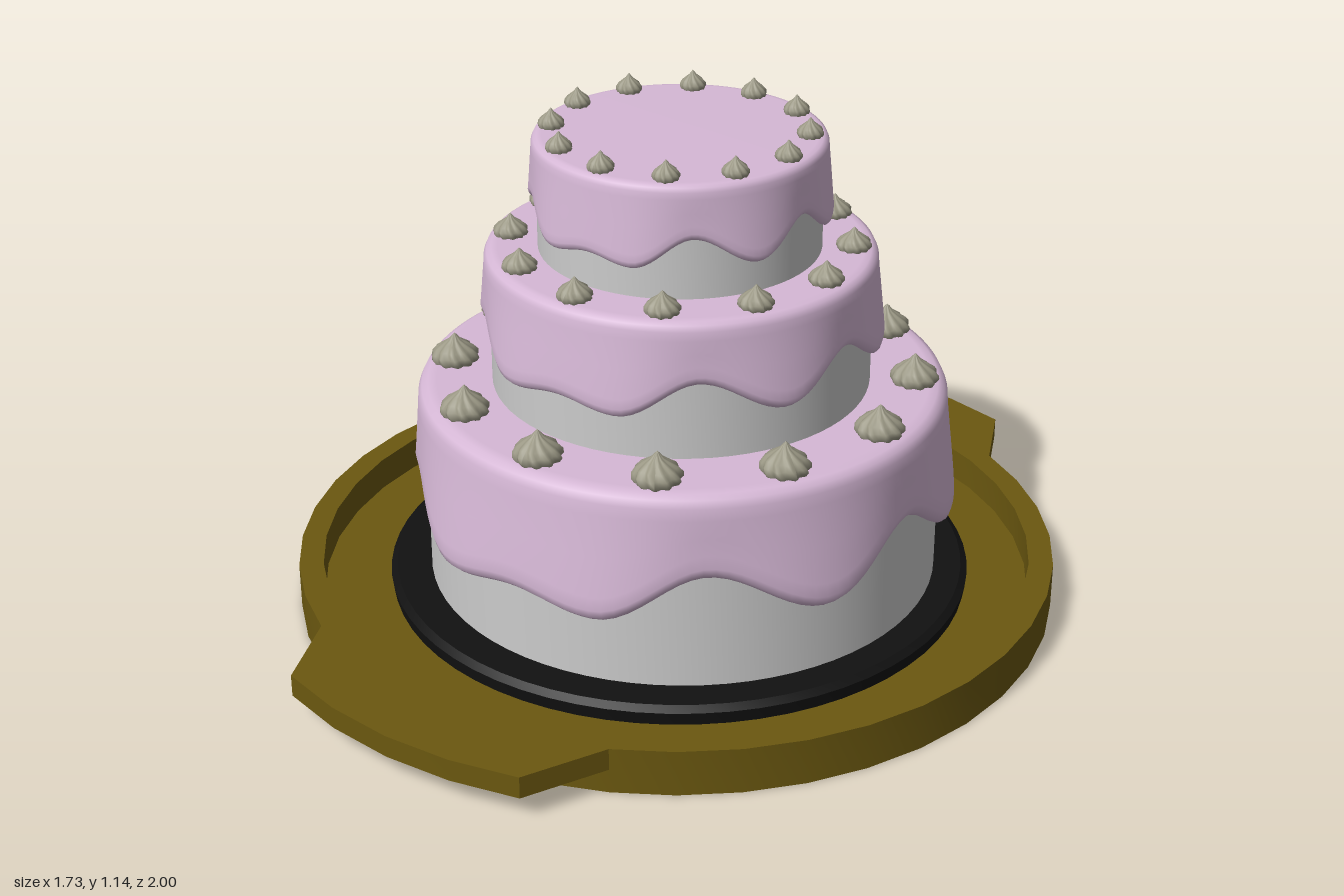
import * as THREE from 'three';
import { toCreasedNormals } from 'three/addons/utils/BufferGeometryUtils.js';

const mat = (color) => new THREE.MeshStandardMaterial({ color });
const gold = mat(0x6b5810), black = mat(0x111111), sponge = mat(0xcccccc);
const pink = mat(0xd6b8d6), cream = mat(0x9a9784);
const STEP = Math.PI / 20; // the tray has 40 sides

function add(parent, name, geometry, material) {
  const mesh = new THREE.Mesh(geometry, material);
  mesh.name = name;
  parent.add(mesh);
  return mesh;
}

function lathe(points, sides) {
  const g = new THREE.LatheGeometry(points.map(([r, y]) => new THREE.Vector2(r, y)), sides);
  return toCreasedNormals(g, 0.6);
}

// Lower edge of the icing as [degrees, depth below top]; repeats every half turn
const DRIPS = [[0, 0.272], [18, 0.297], [41, 0.195], [66, 0.292], [90, 0.19], [110, 0.287], [138, 0.207], [161, 0.302], [180, 0.272]];
function dripDepth(angle) {
  const d = THREE.MathUtils.euclideanModulo(THREE.MathUtils.radToDeg(angle), 180);
  let i = 0;
  while (d > DRIPS[i + 1][0]) i++;
  const [a0, y0] = DRIPS[i], [a1, y1] = DRIPS[i + 1];
  return THREE.MathUtils.lerp(y0, y1, (1 - Math.cos(Math.PI * (d - a0) / (a1 - a0))) / 2);
}

// Icing shell: one cross-section per angle, ending in a rounded wavy lip
function icingGeometry(R, bodyR, top, s, depthScale) {
  const N = 144, pos = [], index = [];
  let rows = 0;
  for (let i = 0; i < N; i++) {
    const a = i / N * Math.PI * 2;
    const depth = dripDepth(a), b = top - depth * depthScale;
    const o = R + 0.012 * s * (depth - 0.25) / 0.05;
    const mid = (top + b) / 2;
    const section = [
      [0, top], [R - 0.06 * s, top], [R - 0.04 * s, top - 0.003 * s], [R - 0.026 * s, top - 0.011 * s],
      [R - 0.018 * s, top - 0.028 * s], [R - 0.016 * s, top - 0.055 * s],
      [(R + o) / 2 - 0.008 * s, mid], [o - 0.001 * s, b + 0.06 * s], [o + 0.002 * s, b + 0.03 * s],
      [o - 0.003 * s, b + 0.012 * s], [o - 0.014 * s, b + 0.002 * s], [o - 0.025 * s, b + 0.003 * s],
      [bodyR - 0.01 * s, b + 0.018 * s],
    ];
    rows = section.length;
    for (const [r, y] of section) pos.push(r * Math.sin(a), y, r * Math.cos(a));
    const p = i * rows, q = ((i + 1) % N) * rows;
    for (let j = 0; j < rows - 1; j++) {
      if (j > 0) index.push(p + j, q + j + 1, q + j);
      index.push(p + j, p + j + 1, q + j + 1);
    }
  }
  const g = new THREE.BufferGeometry();
  g.setAttribute('position', new THREE.Float32BufferAttribute(pos, 3));
  g.setIndex(index);
  g.computeVertexNormals();
  return g;
}

// Piped dollop: a pointed dome with twisted ribs
function dollopGeometry(r, h) {
  const profile = [[0.85, -0.05], [1, 0.12], [0.97, 0.28], [0.8, 0.46], [0.5, 0.63], [0.26, 0.76], [0.12, 0.9], [0, 1]];
  const g = new THREE.LatheGeometry(profile.map(([x, y]) => new THREE.Vector2(x * r, y * h)), 40);
  const p = g.attributes.position;
  for (let i = 0; i < p.count; i++) {
    const x = p.getX(i), z = p.getZ(i), t = p.getY(i) / h;
    const k = 0.92 + 0.08 * Math.cos(10 * (Math.atan2(x, z) + t * 0.6));
    p.setXYZ(i, x * k, p.getY(i), z * k);
  }
  g.computeVertexNormals();
  return g;
}

// Handle tab: overlaps the rim and flares out to radius 1
function handleGeometry() {
  const at = (r, k) => new THREE.Vector2(r * Math.sin(k * STEP), r * Math.cos(k * STEP));
  const pts = [at(0.865, -3)];
  for (let k = -2; k <= 2; k++) pts.push(at(1, k));
  for (let k = 3; k >= -3; k--) pts.push(at(k === 3 ? 0.865 : 0.84, k));
  const g = new THREE.ExtrudeGeometry(new THREE.Shape(pts), { depth: 0.05, bevelEnabled: false });
  g.rotateX(Math.PI / 2).translate(0, 0.105, 0);
  return toCreasedNormals(g, 0.3);
}

export function createModel() {
  const model = new THREE.Group();
  model.name = 'tieredCake';

  // Tray with raised rim and two handles
  const tray = new THREE.Group();
  tray.name = 'tray';
  model.add(tray);
  add(tray, 'dish', lathe([[0, 0], [0.865, 0], [0.865, 0.105], [0.81, 0.105], [0.81, 0.03], [0, 0.03]], 40), gold);
  for (const [name, turn] of [['frontHandle', 0], ['backHandle', Math.PI]]) {
    add(tray, name, handleGeometry(), gold).rotation.y = turn;
  }

  // Dark board under the cake
  add(model, 'cakeBoard', lathe([[0.66, 0.028], [0.665, 0.06], [0.65, 0.072], [0, 0.072]], 64), black)
    .position.set(0.005, 0, -0.005);

  // Three tiers, each with sponge, icing and a ring of dollops
  const tiers = [
    { name: 'bottomTier', base: 0.07, top: 0.53, R: 0.61, body: 0.58, s: 1, depth: 1, ring: 0.517, dr: 0.056, dh: 0.068 },
    { name: 'middleTier', base: 0.52, top: 0.845, R: 0.445, body: 0.422, s: 0.73, depth: 0.73, ring: 0.377, dr: 0.04, dh: 0.05 },
    { name: 'topTier', base: 0.835, top: 1.1, R: 0.33, body: 0.311, s: 0.55, depth: 0.62, ring: 0.279, dr: 0.03, dh: 0.043 },
  ];
  for (const t of tiers) {
    const tier = new THREE.Group();
    tier.name = t.name;
    tier.position.set(0.01 * t.s, 0, -0.012 * t.s);
    model.add(tier);
    add(tier, 'sponge', lathe([[0, t.base], [t.body, t.base], [t.body, t.top - 0.03], [0, t.top - 0.03]], 72), sponge);
    add(tier, 'icing', icingGeometry(t.R, t.body, t.top, t.s, t.depth), pink);
    const geometry = dollopGeometry(t.dr, t.dh);
    for (let i = 0; i < 12; i++) {
      const a = i / 12 * Math.PI * 2;
      const dollop = add(tier, 'dollop', geometry, cream);
      dollop.position.set(t.ring * Math.sin(a), t.top, t.ring * Math.cos(a));
      dollop.rotation.y = a;
    }
  }
  return model;
}
